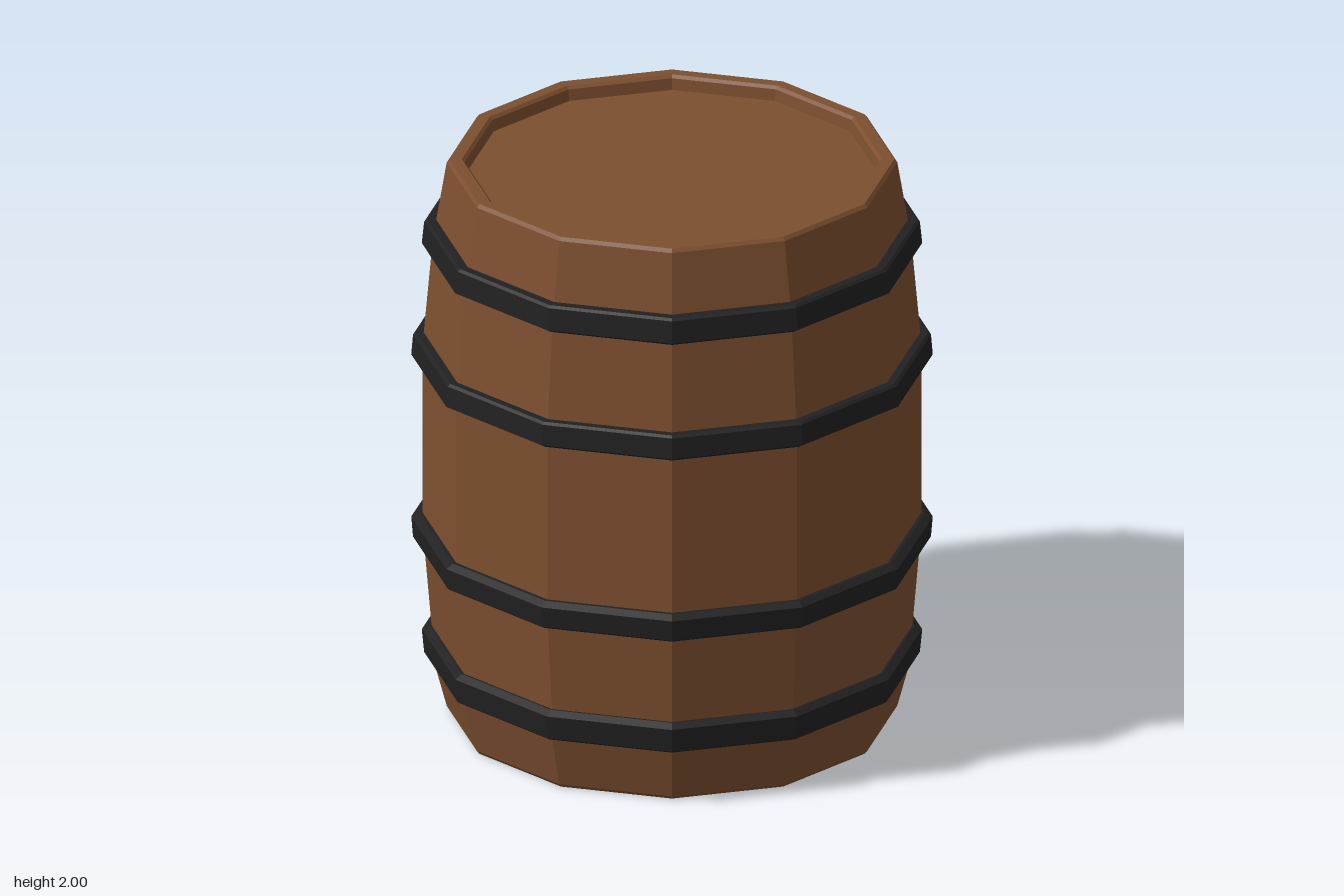
import * as THREE from 'three';

const SIDES = 12;
const wood = new THREE.MeshStandardMaterial({ color: 0x7d4f2f, flatShading: true });
const iron = new THREE.MeshStandardMaterial({ color: 0x212121, flatShading: true });

// Revolves [radius, y] points, listed upwards along the outside, into a faceted solid
function turned(name, profile, material) {
  const points = profile.map(([r, y]) => new THREE.Vector2(r, y));
  const mesh = new THREE.Mesh(new THREE.LatheGeometry(points, SIDES), material);
  mesh.name = name;
  return mesh;
}

// Hoop with its wider, bevelled edge towards the belly of the barrel
function hoop(name, outerY, bellyY, outerR, bellyR, innerR) {
  const bevel = 0.015 * Math.sign(outerY - bellyY);
  const profile = [
    [innerR, bellyY],
    [bellyR - 0.025, bellyY],
    [bellyR, bellyY + bevel],
    [outerR, outerY - bevel * 0.5],
    [outerR - 0.01, outerY],
    [innerR, outerY],
  ];
  if (bellyY > outerY) profile.reverse();
  return turned(name, profile, iron);
}

export function createModel() {
  const barrel = new THREE.Group();
  barrel.name = 'barrel';

  // Staves with bevelled rims and the recessed heads at both ends
  barrel.add(turned('staves', [
    [0.685, 0.05], [0.69, 0.01], [0.70, 0], [0.74, 0], [0.75, 0.012],
    [0.80, 0.2], [0.80, 0.3], [0.83, 0.66],
    [0.83, 1.33], [0.797, 1.7], [0.785, 1.78],
    [0.75, 1.988], [0.74, 2], [0.70, 2], [0.69, 1.99], [0.685, 1.95],
  ], wood));
  barrel.add(turned('bottomHead', [[0, 0.05], [0.69, 0.05]], wood));
  barrel.add(turned('topHead', [[0.69, 1.95], [0, 1.95]], wood));

  // Iron hoops
  barrel.add(hoop('topHoop', 1.78, 1.68, 0.825, 0.833, 0.77));
  barrel.add(hoop('upperHoop', 1.37, 1.275, 0.862, 0.868, 0.80));
  barrel.add(hoop('lowerHoop', 0.62, 0.715, 0.862, 0.868, 0.80));
  barrel.add(hoop('bottomHoop', 0.2, 0.305, 0.825, 0.833, 0.77));

  return barrel;
}
